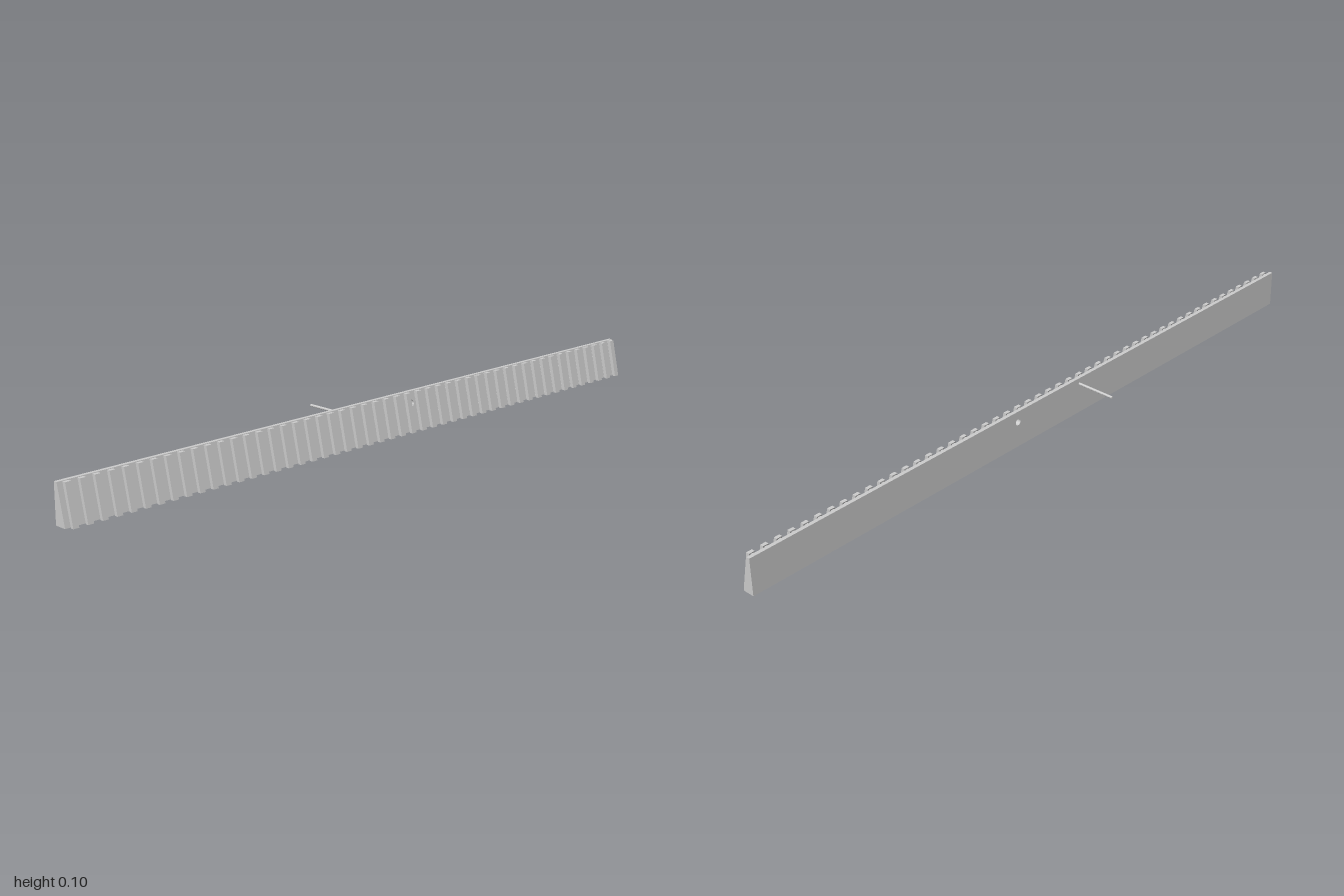
import * as THREE from 'three';

const H = 0.103;   // wall height
const LEN = 2;     // wall length along z
const RIBS = 50;
const PITCH = LEN / RIBS;
const mat = new THREE.MeshStandardMaterial({ color: 0xcccccc, flatShading: true });

// x of a battered plane at height y, given its x at the foot and at the top
const slope = (foot, top, y) => foot + (top - foot) * (y / H);

// Slab between two planes: outline in (-z, y), thickness along x
function slab(shape, back, front) {
  const geo = new THREE.ExtrudeGeometry(shape, { depth: 1, bevelEnabled: false, curveSegments: 12 });
  geo.rotateY(Math.PI / 2);
  const p = geo.attributes.position;
  for (let i = 0; i < p.count; i++) {
    const plane = p.getX(i) > 0.5 ? front : back;
    p.setX(i, slope(plane[0], plane[1], p.getY(i)));
  }
  geo.computeVertexNormals();
  return geo;
}

function rect(width, y0, y1) {
  const w = width / 2;
  return new THREE.Shape([
    new THREE.Vector2(-w, y0), new THREE.Vector2(w, y0),
    new THREE.Vector2(w, y1), new THREE.Vector2(-w, y1),
  ]);
}

function add(parent, name, geo, x = 0, y = 0, z = 0) {
  const mesh = new THREE.Mesh(geo, mat);
  mesh.name = name;
  mesh.position.set(x, y, z);
  parent.add(mesh);
  return mesh;
}

export function createModel() {
  const model = new THREE.Group();
  model.name = 'ribbedWall';

  // Battered wall with a round drain hole
  const wall = rect(LEN, 0, H);
  const hole = new THREE.Path();
  hole.absarc(0.12, 0.072, 0.009, 0, Math.PI * 2, true);
  wall.holes.push(hole);
  add(model, 'wall', slab(wall, [0.032, 0.032], [0.066, 0.042]));

  // Sloping ribs standing just off the face on rows of small studs
  const ribGeo = slab(rect(0.016, 0, H), [0.071, 0.047], [0.08, 0.057]);
  const studGeo = new THREE.BoxGeometry(0.009, 0.004, 0.008);
  const STUDS = 10;
  for (let i = 0; i < RIBS; i++) {
    const rib = new THREE.Group();
    rib.name = 'rib' + (i + 1);
    rib.position.z = -LEN / 2 + (i + 0.5) * PITCH;
    add(rib, 'ribBar', ribGeo);
    for (let k = 0; k < STUDS; k++) {
      const y = (k + 0.5) * H / STUDS;
      add(rib, 'ribStud', studGeo, slope(0.0685, 0.0445, y), y, 0);
    }
    model.add(rib);
  }

  // Thin rod reaching out behind the wall
  const rodGeo = new THREE.CylinderGeometry(0.0035, 0.0035, 0.124, 12).rotateZ(Math.PI / 2);
  add(model, 'rod', rodGeo, -0.02, 0.0865, 0.12);

  return model;
}
